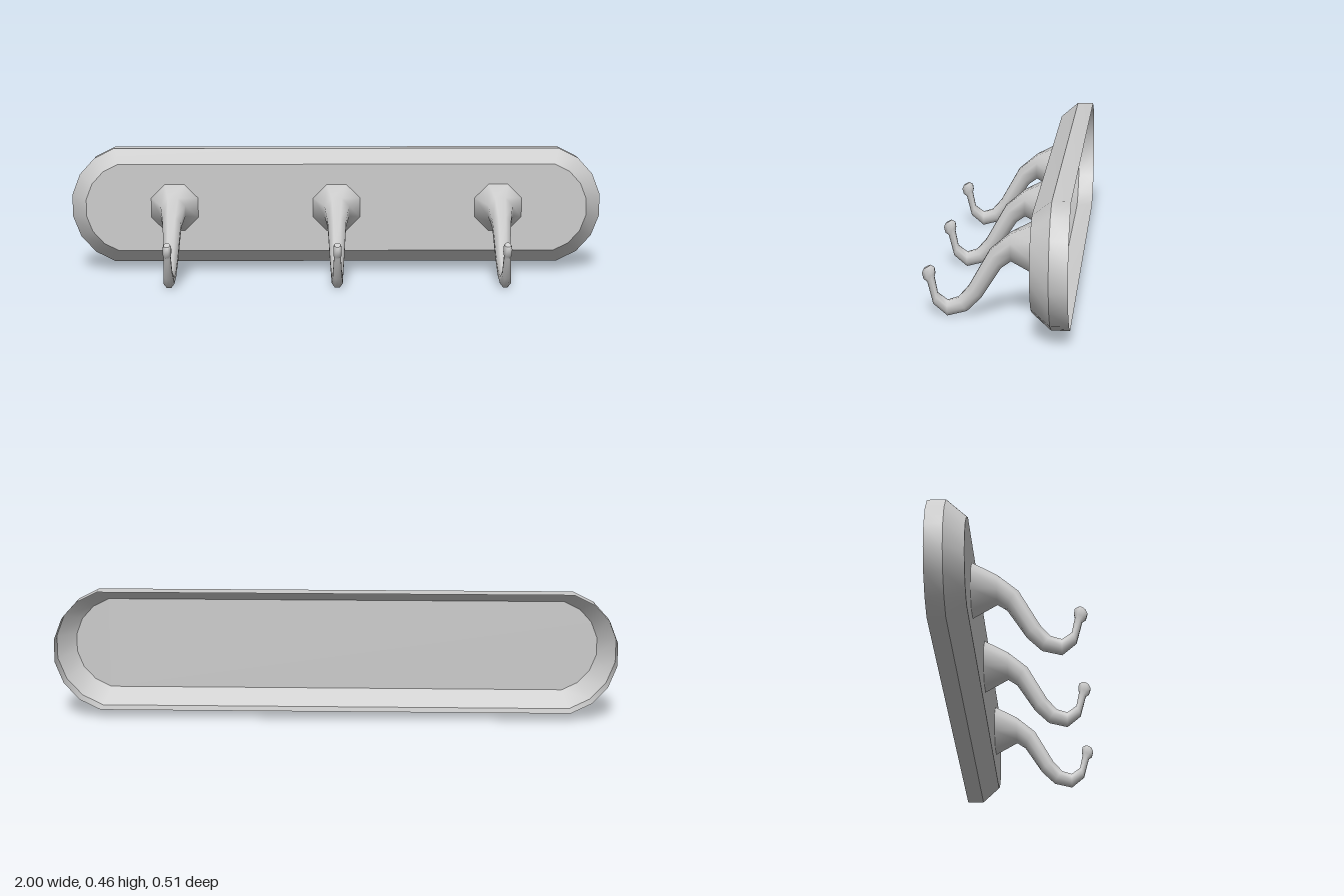
import * as THREE from 'three';

// Skin between equal-sized closed rings (counter-clockwise seen from the far end).
function loft(rings) {
  const n = rings[0].length, index = [];
  for (let r = 0; r < rings.length - 1; r++) {
    for (let i = 0; i < n; i++) {
      const a = r * n + i, b = r * n + (i + 1) % n;
      index.push(a, b, b + n, a, b + n, a + n);
    }
  }
  const geo = new THREE.BufferGeometry().setFromPoints(rings.flat());
  geo.setIndex(index);
  geo.computeVertexNormals();
  return geo;
}

// Flat fan closing a ring.
function cap(ring) {
  const geo = new THREE.BufferGeometry().setFromPoints(ring);
  const index = [];
  for (let i = 1; i < ring.length - 1; i++) index.push(0, i, i + 1);
  geo.setIndex(index);
  geo.computeVertexNormals();
  return geo;
}

// Long outline with faceted round ends.
function plateRing(halfLength, halfHeight, z, segments = 7) {
  const sweep = THREE.MathUtils.degToRad(74);
  const radius = halfHeight / Math.sin(sweep);
  const centre = halfLength - radius * Math.cos(sweep / segments);
  const ring = [];
  for (const side of [1, -1]) {
    for (let i = 0; i <= segments; i++) {
      const a = -sweep + (2 * sweep * i) / segments;
      ring.push(new THREE.Vector3(
        side * (centre + radius * Math.cos(a)),
        0.246 + side * radius * Math.sin(a), z));
    }
  }
  return ring;
}

// Hook cross-sections: upper z, y, lower z, y, half width.
const HOOK = [
  [-0.13, 0.334, -0.13, 0.158, 0.088],
  [-0.045, 0.294, -0.045, 0.199, 0.046],
  [0.027, 0.234, -0.012, 0.174, 0.034],
  [0.1, 0.104, 0.055, 0.068, 0.026],
  [0.135, 0.064, 0.105, 0.018, 0.022],
  [0.172, 0.052, 0.172, 0, 0.02],
  [0.205, 0.077, 0.22, 0.04, 0.016],
  [0.216, 0.133, 0.24, 0.117, 0.012],
  [0.213, 0.147, 0.252, 0.126, 0.015],
  [0.216, 0.166, 0.258, 0.147, 0.015],
  [0.23, 0.174, 0.252, 0.162, 0.011],
];

// Octagonal ring with flat top and sides.
function hookRing([tz, ty, bz, by, w]) {
  const k = 1 / Math.cos(Math.PI / 8);
  return Array.from({ length: 8 }, (_, i) => {
    const a = Math.PI / 8 + (i * Math.PI) / 4;
    const u = (k * Math.cos(a)) / 2;
    return new THREE.Vector3(
      -w * k * Math.sin(a),
      (ty + by) / 2 + (ty - by) * u,
      (tz + bz) / 2 + (tz - bz) * u);
  });
}

export function createModel() {
  const root = new THREE.Group();
  root.name = 'hookRail';
  const material = new THREE.MeshStandardMaterial({ color: 0xcccccc, side: THREE.DoubleSide });
  const add = (parent, name, geo) => {
    const mesh = new THREE.Mesh(geo, material);
    mesh.name = name;
    parent.add(mesh);
  };

  // Backplate: hollow shell, open at the back
  const plate = new THREE.Group();
  plate.name = 'backplate';
  const back = plateRing(1, 0.216, -0.257);
  const middle = plateRing(1, 0.216, -0.195);
  const front = plateRing(0.94, 0.164, -0.13);
  add(plate, 'plateRim', loft([back, middle]));
  add(plate, 'plateBevel', loft([middle, front]));
  add(plate, 'platePanel', cap(front));
  root.add(plate);

  // Three identical hooks
  const rings = HOOK.map(hookRing);
  const hookBody = loft(rings);
  const hookEnd = cap(rings[rings.length - 1]);
  ['rightHook', 'middleHook', 'leftHook'].forEach((name, i) => {
    const hook = new THREE.Group();
    hook.name = name;
    hook.position.x = (i - 1) * 0.608;
    add(hook, 'hookBody', hookBody);
    add(hook, 'hookTip', hookEnd);
    root.add(hook);
  });
  return root;
}
